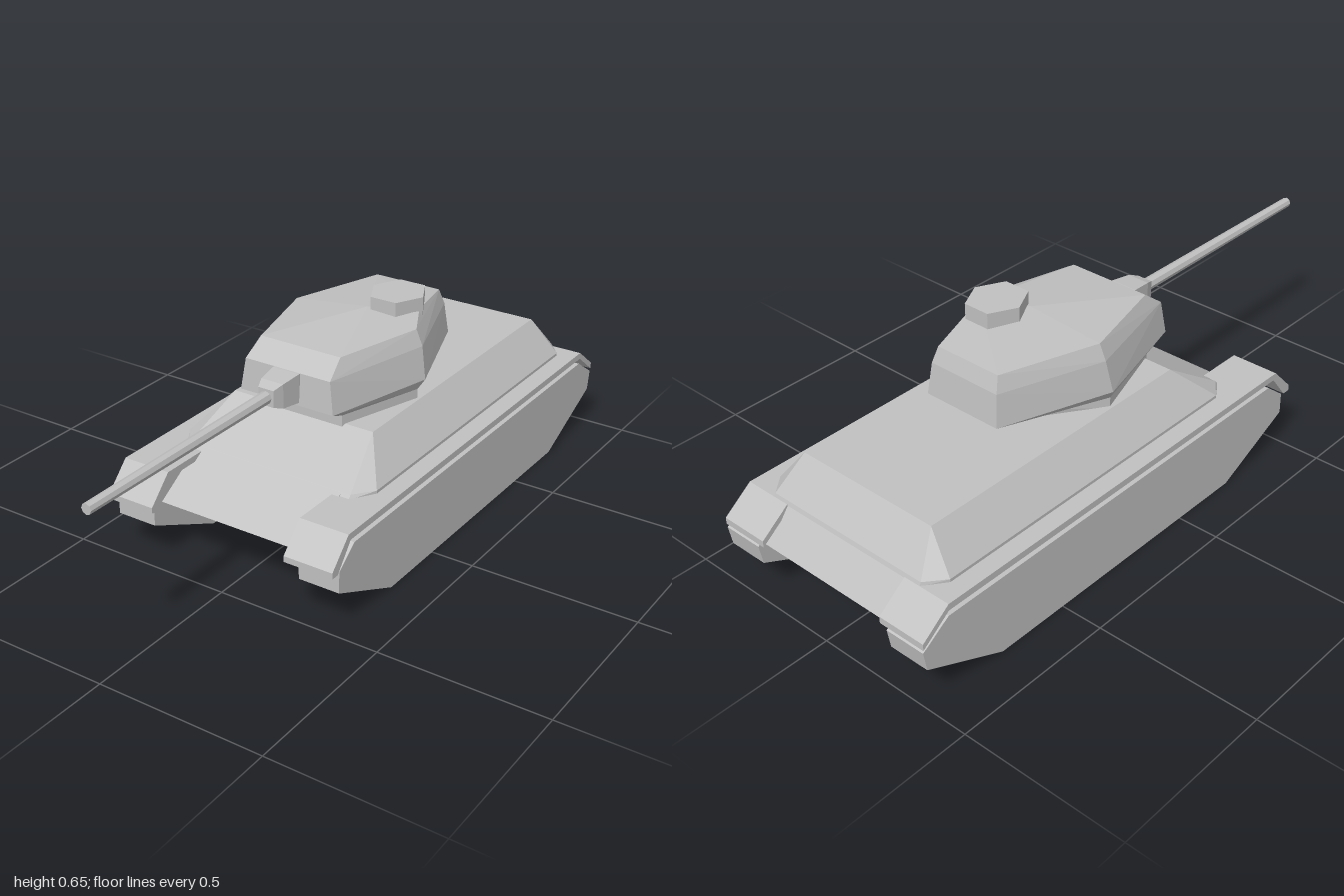
import * as THREE from 'three';
import { ConvexGeometry } from 'three/addons/geometries/ConvexGeometry.js';

const grey = new THREE.MeshStandardMaterial({ color: 0xc0c0c0 });
grey.name = 'plainGrey';
grey.flatShading = true;

function add(parent, name, geometry) {
  const mesh = new THREE.Mesh(geometry, grey);
  mesh.name = name;
  parent.add(mesh);
  return mesh;
}

// Side profile of [z, y] points, extruded across from x0 to x1
function slab(profile, x0, x1) {
  const shape = new THREE.Shape(profile.map(([z, y]) => new THREE.Vector2(-z, y)));
  const g = new THREE.ExtrudeGeometry(shape, { depth: x1 - x0, bevelEnabled: false });
  return g.rotateY(Math.PI / 2).translate(x0, 0, 0);
}

// Convex solid from [x, y, z] points, each mirrored in x, plus unmirrored extras
function solid(points, extras = []) {
  const all = [];
  for (const [x, y, z] of points) {
    all.push(new THREE.Vector3(x, y, z), new THREE.Vector3(-x, y, z));
  }
  for (const p of extras) all.push(new THREE.Vector3(...p));
  return new ConvexGeometry(all);
}

// Half of a six-sided turret ring: front, side and rear corners
const ring = (y, frontX, frontZ, sideX, sideZ, rearX, rearZ) =>
  [[frontX, y, frontZ], [sideX, y, sideZ], [rearX, y, rearZ]];

export function createModel() {
  const tank = new THREE.Group();
  tank.name = 'tank';

  // Hull
  const hull = new THREE.Group();
  hull.name = 'hull';
  tank.add(hull);
  add(hull, 'lowerHull', slab([
    [0.445, 0.18], [0.28, 0.285], [-0.9, 0.285], [-0.98, 0.18], [-0.82, 0.1], [0.25, 0.115],
  ], -0.243, 0.243));
  add(hull, 'upperHull', solid([
    [0.234, 0.392, 0.11], [0.234, 0.392, -0.825],
    [0.318, 0.287, 0.22], [0.318, 0.287, -0.85],
    [0.272, 0.287, 0.278], [0.272, 0.287, -0.905],
    [0.318, 0.275, 0.22], [0.318, 0.275, -0.85],
    [0.272, 0.275, 0.29], [0.272, 0.275, -0.91],
  ]));

  // Tracks and fenders on both sides
  const track = [
    [0.22, 0], [0.48, 0.12], [0.48, 0.185], [0.41, 0.24],
    [-0.91, 0.24], [-1, 0.18], [-0.99, 0.12], [-0.73, 0],
  ];
  const fender = [
    [0.44, 0.278], [-0.91, 0.278], [-1, 0.21], [-1, 0.19], [-0.91, 0.258],
    [0.43, 0.258], [0.49, 0.182], [0.515, 0.182], [0.515, 0.2],
  ];
  for (const [side, s] of [['left', 1], ['right', -1]]) {
    const span = (a, b) => (s > 0 ? [a, b] : [-b, -a]);
    add(tank, side + 'Track', slab(track, ...span(0.243, 0.37)));
    add(tank, side + 'Fender', slab(fender, ...span(0.22, 0.372)));
  }

  // Turret
  const turret = new THREE.Group();
  turret.name = 'turret';
  tank.add(turret);
  add(turret, 'turretBase', solid([
    ...ring(0.385, 0.14, 0.12, 0.225, -0.14, 0.1, -0.32),
    ...ring(0.421, 0.14, 0.12, 0.225, -0.14, 0.1, -0.33),
  ]));
  add(turret, 'turretBody', solid([
    ...ring(0.42, 0.14, 0.12, 0.225, -0.14, 0.1, -0.33),
    ...ring(0.45, 0.154, 0.187, 0.243, -0.15, 0.127, -0.48),
    ...ring(0.545, 0.14, 0.18, 0.225, -0.16, 0.118, -0.467),
    ...ring(0.592, 0.132, 0.118, 0.204, -0.16, 0.108, -0.45),
  ], [[0.035, 0.618, -0.17], [0.165, 0.617, -0.24]]));

  // Commander's hatch
  const hatch = add(turret, 'hatch', new THREE.CylinderGeometry(0.083, 0.083, 0.065, 6));
  hatch.geometry.rotateY(Math.PI / 6).scale(1, 1, 1.12);
  hatch.position.set(0.093, 0.622, -0.24);

  // Gun
  const gun = new THREE.Group();
  gun.name = 'gun';
  gun.position.y = 0.502;
  turret.add(gun);
  const square = (r, z) => [[r, r, z], [r, -r, z]];
  add(gun, 'mantlet', solid([
    ...square(0.043, 0.15), ...square(0.043, 0.185), ...square(0.036, 0.25), ...square(0.025, 0.28),
  ]));
  const barrel = new THREE.CylinderGeometry(0.0155, 0.019, 0.74, 8);
  add(gun, 'barrel', barrel.rotateX(Math.PI / 2).translate(0, 0, 0.63));

  return tank;
}
